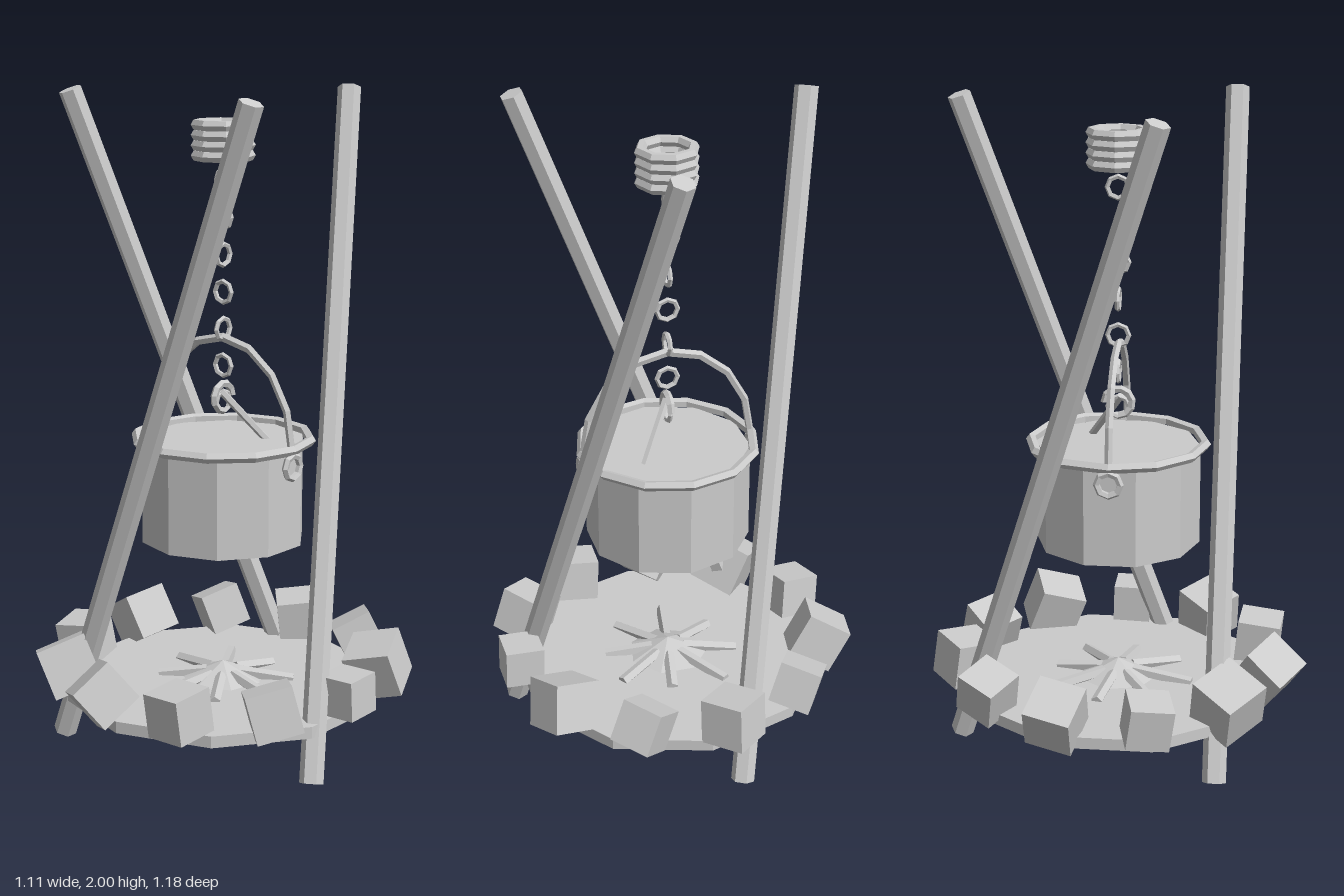
import * as THREE from 'three';

const material = new THREE.MeshStandardMaterial({ color: 0xcccccc, flatShading: true });

function add(parent, name, geometry, x = 0, y = 0, z = 0) {
  const mesh = new THREE.Mesh(geometry, material);
  mesh.name = name;
  mesh.position.set(x, y, z);
  parent.add(mesh);
  return mesh;
}

// Cylinder running between two points
function rod(parent, name, from, to, radius, sides) {
  const a = new THREE.Vector3(...from), b = new THREE.Vector3(...to);
  const dir = b.clone().sub(a);
  const mesh = add(parent, name, new THREE.CylinderGeometry(radius, radius, dir.length(), sides));
  mesh.position.copy(a).add(b).multiplyScalar(0.5);
  mesh.quaternion.setFromUnitVectors(new THREE.Vector3(0, 1, 0), dir.normalize());
  return mesh;
}

function makeTripod() {
  const tripod = new THREE.Group();
  tripod.name = 'tripod';
  for (let i = 0; i < 3; i++) {
    const arm = new THREE.Group();
    arm.rotation.y = i * Math.PI * 2 / 3;
    const pole = add(arm, 'pole', new THREE.CylinderGeometry(0.036, 0.036, 2.11, 6), 0, 1, 0.328);
    pole.rotation.z = -0.36;
    tripod.add(arm);
  }
  // Rope binding above the chain
  for (let i = 0; i < 4; i++) {
    const coil = add(tripod, 'ropeCoil', new THREE.TorusGeometry(0.079, 0.017, 6, 8), 0, 1.805 + i * 0.03, 0);
    coil.rotation.x = Math.PI / 2;
  }
  return tripod;
}

function makeChain() {
  const chain = new THREE.Group();
  chain.name = 'chain';
  for (let i = 0; i < 7; i++) {
    const link = add(chain, 'chainLink', new THREE.TorusGeometry(0.032, 0.008, 5, 8), 0, 1.735 - i * 0.1115, 0);
    if (i % 2 === 0) link.rotation.y = Math.PI / 2;
  }
  // Open hook under the last link
  const hook = add(chain, 'hook', new THREE.TorusGeometry(0.042, 0.012, 5, 8, Math.PI * 1.5), 0, 1.08, 0);
  hook.rotation.set(0, Math.PI / 2, 0);
  return chain;
}

function makePot() {
  const pot = new THREE.Group();
  pot.name = 'pot';
  add(pot, 'potBody', new THREE.CylinderGeometry(0.252, 0.252, 0.31, 10), 0, 0.795, 0);
  const base = add(pot, 'potBase', new THREE.ConeGeometry(0.19, 0.08, 10), 0, 0.602, 0);
  base.rotation.x = Math.PI;
  const rim = add(pot, 'potRim', new THREE.TorusGeometry(0.268, 0.016, 5, 12), 0, 0.955, 0);
  rim.rotation.x = Math.PI / 2;
  const bail = add(pot, 'handle', new THREE.TorusGeometry(0.265, 0.012, 5, 8, Math.PI), 0, 0.95, 0);
  bail.scale.y = 1.18;
  for (const side of [-1, 1]) {
    const lug = add(pot, 'handleLug', new THREE.TorusGeometry(0.035, 0.011, 5, 8), side * 0.268, 0.905, 0);
    lug.rotation.y = Math.PI / 2;
  }
  rod(pot, 'ladleHandle', [0, 1.1, 0.01], [0.1, 0.94, -0.095], 0.012, 5);
  return pot;
}

// Each stone: size, then tilt about x, turn about y, tilt about z
const STONES = [
  [0.12, 0.03, 0.0, 0.03], [0.14, 0.25, -0.75, 0.2], [0.135, 0.1, -0.07, 0.06],
  [0.14, 0.65, -0.4, 0.35], [0.155, 0.35, -0.65, 0.3], [0.13, 0.12, 0.25, 0.12],
  [0.145, 0.15, -0.22, 0.5], [0.13, 0.3, -0.5, 0.25], [0.14, 0.1, 0.72, 0.1],
  [0.13, 0.45, -0.75, 0.15], [0.15, 0.3, 0.38, 0.25],
];

function makeFirePit() {
  const pit = new THREE.Group();
  pit.name = 'firePit';
  add(pit, 'ashBed', new THREE.CylinderGeometry(0.49, 0.49, 0.036, 10), 0, 0.168, 0);
  STONES.forEach(([size, rx, ry, rz], i) => {
    const a = i * Math.PI * 2 / STONES.length;
    const stone = add(pit, 'stone', new THREE.BoxGeometry(size, size, size),
      Math.cos(a) * 0.48, 0.25, Math.sin(a) * 0.48);
    stone.rotation.set(rx, ry, rz, 'YXZ');
  });
  // Low ember mound with firewood fanned around it
  add(pit, 'embers', new THREE.ConeGeometry(0.13, 0.055, 7), 0, 0.212, 0);
  for (let i = 0; i < 8; i++) {
    const a = i * Math.PI / 4 + 0.2, reach = 0.2 + 0.02 * (i % 3);
    const c = Math.cos(a), s = Math.sin(a);
    rod(pit, 'firewood', [c * 0.05, 0.205, s * 0.05], [c * reach, 0.185, s * reach], 0.018, 5);
  }
  return pit;
}

export function createModel() {
  const model = new THREE.Group();
  model.name = 'campfireCauldron';
  const parts = new THREE.Group();
  parts.position.set(0.018, 0, -0.005);
  parts.add(makeTripod(), makeChain(), makePot(), makeFirePit());
  model.add(parts);
  return model;
}
